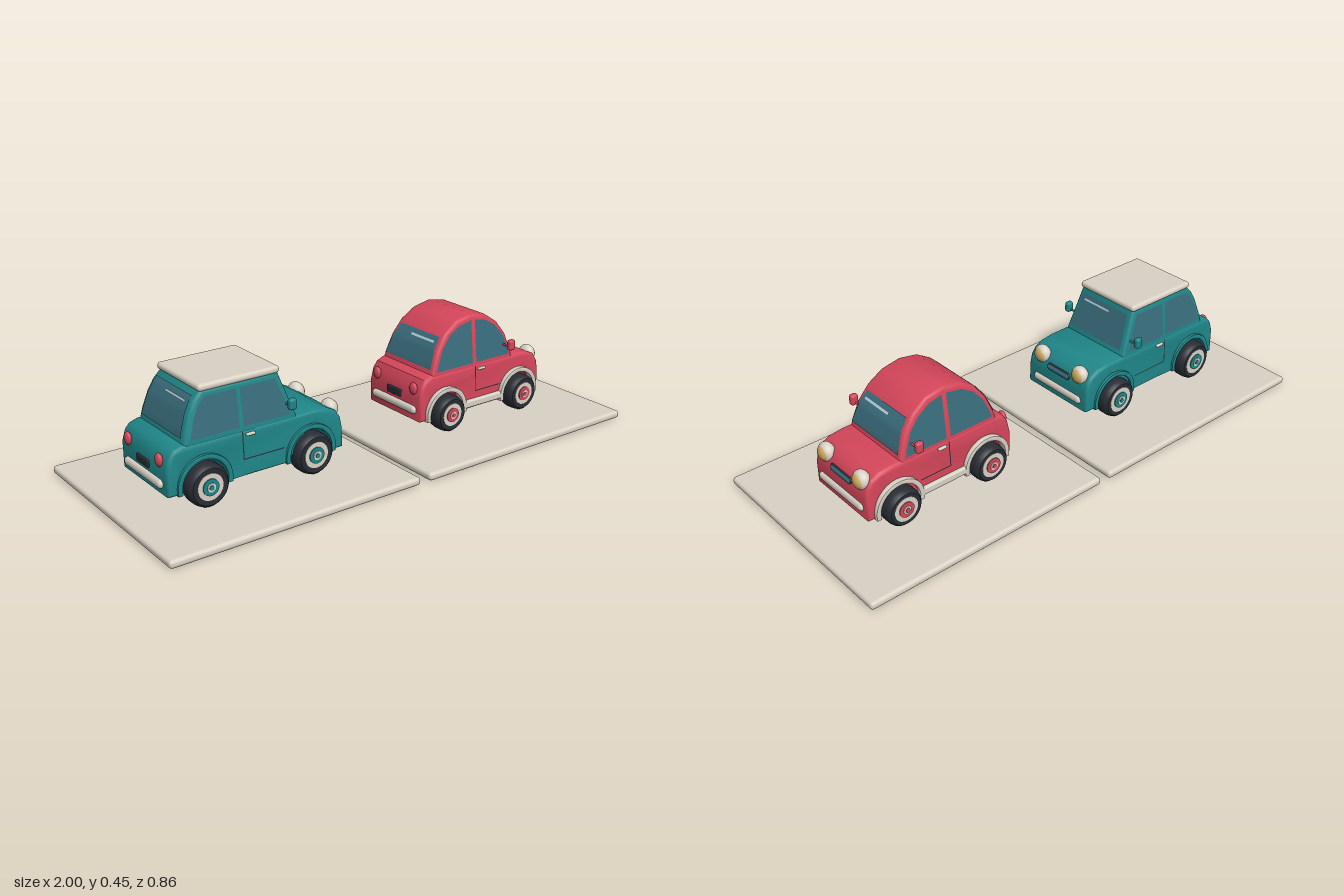
import * as THREE from 'three';
import { toCreasedNormals } from 'three/addons/utils/BufferGeometryUtils.js';
import { RoundedBoxGeometry } from 'three/addons/geometries/RoundedBoxGeometry.js';

const material = (name, color, side = THREE.FrontSide) => {
  const m = new THREE.MeshStandardMaterial({ color, side });
  m.name = name;
  return m;
};

const add = (parent, name, geometry, mat, x = 0, y = 0, z = 0) => {
  const mesh = new THREE.Mesh(geometry, mat);
  mesh.name = name;
  mesh.position.set(x, y, z);
  parent.add(mesh);
  return mesh;
};

const toShape = (pts) => new THREE.Shape(pts.map(([x, y]) => new THREE.Vector2(x, y)));

// Linear half width of a shell from [y0, w0] to [y1, w1]
const taper = ([y0, w0], [y1, w1]) => (y) => w0 + (w1 - w0) * (y - y0) / (y1 - y0);

// Side profile extruded across the car, rounded at the edges and narrowed with height
function shell(shape, half, bevel) {
  const W = 0.15;
  const geo = new THREE.ExtrudeGeometry(shape, {
    depth: 2 * (W - bevel), bevelThickness: bevel, bevelSize: bevel,
    bevelOffset: -bevel, bevelSegments: 4, curveSegments: 24,
  });
  geo.translate(0, 0, -(W - bevel));
  const p = geo.attributes.position;
  for (let i = 0; i < p.count; i++) p.setZ(i, p.getZ(i) * half(p.getY(i)) / W);
  return toCreasedNormals(geo, 0.6);
}

// Flat panel laid on a tapered side
function sidePanel(pts, half, side, lift = 0.003) {
  const geo = new THREE.ShapeGeometry(toShape(pts));
  const p = geo.attributes.position;
  for (let i = 0; i < p.count; i++) p.setZ(i, side * (half(p.getY(i)) + lift));
  geo.computeVertexNormals();
  return geo;
}

// Panel laid across the front or rear of the cabin, following its profile
function crossPanel(profile, dir, yLow, yHigh, zLow, zHigh, lift) {
  const pts = dir > 0 ? [...profile].reverse() : profile;
  const edgeX = (y) => {
    let i = 0;
    while (i < pts.length - 2 && pts[i + 1][1] < y) i++;
    const [a, b] = [pts[i], pts[i + 1]];
    return a[0] + (b[0] - a[0]) * (y - a[1]) / (b[1] - a[1]);
  };
  const geo = new THREE.PlaneGeometry(1, 1, 1, 10);
  const p = geo.attributes.position;
  for (let i = 0; i < p.count; i++) {
    const t = p.getY(i) + 0.5, s = p.getX(i) + 0.5;
    const y = yLow + (yHigh - yLow) * t;
    const left = zLow[0] + (zHigh[0] - zLow[0]) * t, right = zLow[1] + (zHigh[1] - zLow[1]) * t;
    p.setXYZ(i, edgeX(y) + dir * lift, y, dir > 0 ? left + (right - left) * s : right + (left - right) * s);
  }
  geo.computeVertexNormals();
  return geo;
}

function wheel(mats, paint, r) {
  const g = new THREE.Group();
  g.name = 'wheel';
  const profile = [[0.6, -0.034], [0.86, -0.036], [0.96, -0.028], [1, -0.015], [1, 0.015], [0.96, 0.028], [0.86, 0.036], [0.6, 0.034]];
  const tire = new THREE.LatheGeometry(profile.map(([k, y]) => new THREE.Vector2(k * r, y)), 36);
  add(g, 'tire', toCreasedNormals(tire, 0.6), mats.rubber).rotation.x = Math.PI / 2;
  const discs = [['rim', 0.67, 0.036, mats.cream], ['hubRing', 0.42, 0.040, paint], ['hubCenter', 0.22, 0.043, mats.cream], ['hubCap', 0.12, 0.046, paint]];
  for (const [name, k, h, mat] of discs)
    add(g, name, new THREE.CylinderGeometry(k * r * 0.94, k * r, 2 * h, 28), mat).rotation.x = Math.PI / 2;
  return g;
}

// Half-ring trim around a wheel opening
function archShape(cx, cy, rIn, rOut, yLow) {
  const a = Math.asin((cy - yLow) / rOut), b = Math.asin((cy - yLow) / rIn);
  const s = new THREE.Shape();
  s.absarc(cx, cy, rOut, -a, Math.PI + a, false);
  s.absarc(cx, cy, rIn, Math.PI + b, -b, true);
  return s;
}

function createCar(name, mats, c) {
  const car = new THREE.Group();
  car.name = name;
  const { paint, wheels, wheelY, wheelR, archR, bottom, bodyHalf, cabinHalf } = c;

  // Lower body with open wheel arches
  const body = toShape(c.body);
  for (const x of [...wheels].reverse()) {
    const a = Math.asin((wheelY - bottom) / archR);
    body.absarc(x, wheelY, archR, -a, Math.PI + a, false);
  }
  add(car, 'body', shell(body, bodyHalf, 0.014), paint);
  add(car, 'cabin', shell(toShape(c.cabin), cabinHalf, 0.014), paint);

  // Windscreen and rear window with a light streak on each
  for (const dir of [1, -1]) {
    const [y0, y1] = c.screenY, [w0, w1] = c.screenHalf, s = y1 - 0.018;
    add(car, dir > 0 ? 'windscreen' : 'rearWindow',
      crossPanel(c.cabin, dir, y0, y1, [w0, -w0], [w1, -w1], 0.004), mats.glass);
    add(car, 'glassStreak', crossPanel(c.cabin, dir, s - 0.004, s + 0.003, [0.1, -0.03], [0.1, -0.03], 0.007), mats.streak);
  }

  for (const side of [1, -1]) {
    // Side windows, door seam and handle
    for (const pts of c.windows) add(car, 'sideWindow', sidePanel(pts, cabinHalf, side), mats.glass);
    const [dx, dEnd] = c.door, y = 0.15, t = 0.004;
    add(car, 'doorSeam', sidePanel([[dx, 0.25], [dx, y], [dEnd, y], [dEnd, y + t], [dx + t, y + t], [dx + t, 0.25]], bodyHalf, side, 0.002), mats.rubber);
    add(car, 'doorHandle', new RoundedBoxGeometry(0.035, 0.01, 0.012, 2, 0.004), mats.cream, dx + 0.032, 0.237, side * (bodyHalf(0.237) + 0.003));

    // Wheels and arch trims
    for (const x of wheels) {
      const w = wheel(mats, paint, wheelR);
      w.position.set(x, wheelY, side * 0.163);
      car.add(w);
      const arch = new THREE.ExtrudeGeometry(archShape(x, wheelY, archR, archR + 0.018, bottom),
        { depth: 0.02, bevelThickness: 0.003, bevelSize: 0.003, bevelOffset: -0.003, bevelSegments: 2, curveSegments: 24 });
      add(car, 'wheelArch', toCreasedNormals(arch, 0.6), c.trim, 0, 0, side * 0.158 - 0.01);
    }
    if (c.runningBoard) {
      const len = wheels[1] - wheels[0] - 2 * archR - 0.01;
      add(car, 'runningBoard', new RoundedBoxGeometry(len, 0.03, 0.024, 2, 0.008), c.trim, (wheels[0] + wheels[1]) / 2, 0.108, side * 0.158);
    }

    // Door mirror
    const stem = add(car, 'mirrorStem', new THREE.CylinderGeometry(0.004, 0.004, 0.06, 10), paint, c.mirrorX, 0.306, side * 0.16);
    stem.rotation.x = Math.PI / 2;
    add(car, 'mirror', new RoundedBoxGeometry(0.03, 0.042, 0.024, 3, 0.01), paint, c.mirrorX, 0.315, side * 0.188);

    // Headlight shell and lens, tail light
    add(car, 'headlightShell', new THREE.SphereGeometry(1, 28, 18), mats.cream, c.front - 0.016, 0.222, side * 0.103).scale.set(0.028, 0.036, 0.036);
    add(car, 'headlightLens', new THREE.SphereGeometry(1, 24, 16), mats.lens, c.front - 0.002, 0.222, side * 0.103).scale.set(0.017, 0.028, 0.028);
    add(car, 'tailLight', new THREE.SphereGeometry(1, 20, 14), mats.red, c.rear + 0.001, 0.208, side * 0.108).scale.set(0.012, 0.024, 0.019);
  }

  // Bumpers, grille and rear plate
  const bar = (label, mat, r, halfLen, x, y) => {
    const m = add(car, label, new THREE.CapsuleGeometry(r, 2 * (halfLen - r), 8, 18), mat, x, y, 0);
    m.rotation.x = Math.PI / 2;
    m.scale.x = 0.75;
  };
  bar('frontBumper', mats.cream, 0.016, 0.128, c.front + 0.002, 0.125);
  bar('rearBumper', mats.cream, 0.016, 0.128, c.rear - 0.002, 0.125);
  bar('grilleFrame', mats.rubber, 0.0145, 0.063, c.front - 0.006, 0.193);
  bar('grille', mats.glass, 0.011, 0.058, c.front - 0.001, 0.193);
  add(car, 'rearPlate', new RoundedBoxGeometry(0.012, 0.028, 0.08, 2, 0.004), mats.rubber, c.rear - 0.001, 0.168, 0);
  return car;
}

export function createModel() {
  const model = new THREE.Group();
  const mats = {
    teal: material('teal paint', 0x1f8688), red: material('red paint', 0xd5465a),
    cream: material('cream', 0xd9d2c5), rubber: material('dark rubber', 0x282d34),
    glass: material('blue glass', 0x3a6e7d, THREE.DoubleSide), streak: material('pale streak', 0xb4d0d6, THREE.DoubleSide),
    lens: material('amber lens', 0xd0ac62),
  };
  mats.rubber.side = THREE.DoubleSide;

  // Two display bases
  for (const s of [-1, 1])
    add(model, 'base', new RoundedBoxGeometry(0.98, 0.03, 0.86, 3, 0.013), mats.cream, s * 0.51, 0.015, 0);

  // Boxy car with a slab roof
  const teal = createCar('tealCar', mats, {
    paint: mats.teal, trim: mats.teal, wheels: [-0.72, -0.3], wheelY: 0.107, wheelR: 0.076, archR: 0.086, bottom: 0.088,
    bodyHalf: taper([0.09, 0.165], [0.255, 0.159]), cabinHalf: taper([0.25, 0.156], [0.42, 0.136]),
    body: [[-0.853, 0.088], [-0.855, 0.185], [-0.843, 0.225], [-0.825, 0.245], [-0.795, 0.255], [-0.27, 0.254],
      [-0.22, 0.247], [-0.185, 0.23], [-0.166, 0.203], [-0.159, 0.165], [-0.159, 0.088]],
    cabin: [[-0.79, 0.235], [-0.778, 0.29], [-0.757, 0.35], [-0.735, 0.39], [-0.705, 0.422], [-0.41, 0.422], [-0.342, 0.235]],
    screenY: [0.272, 0.402], screenHalf: [0.134, 0.118],
    windows: [
      [[-0.763, 0.266], [-0.745, 0.33], [-0.722, 0.375], [-0.698, 0.4], [-0.577, 0.4], [-0.577, 0.266]],
      [[-0.563, 0.266], [-0.563, 0.4], [-0.425, 0.4], [-0.375, 0.266]],
    ],
    door: [-0.572, -0.41], mirrorX: -0.39, front: -0.162, rear: -0.855,
  });
  add(teal, 'roofSlab', new RoundedBoxGeometry(0.312, 0.026, 0.284, 3, 0.012), mats.cream, -0.56, 0.428, 0);
  model.add(teal);

  // Round-roofed car with cream trim
  model.add(createCar('redCar', mats, {
    paint: mats.red, trim: mats.cream, wheels: [0.323, 0.694], wheelY: 0.103, wheelR: 0.07, archR: 0.08, bottom: 0.083,
    bodyHalf: taper([0.08, 0.158], [0.255, 0.15]), cabinHalf: taper([0.25, 0.148], [0.452, 0.126]),
    body: [[0.206, 0.083], [0.203, 0.17], [0.212, 0.215], [0.23, 0.243], [0.262, 0.256], [0.7, 0.256],
      [0.755, 0.25], [0.788, 0.234], [0.808, 0.205], [0.815, 0.165], [0.813, 0.083]],
    cabin: [[0.258, 0.235], [0.272, 0.285], [0.297, 0.345], [0.338, 0.4], [0.395, 0.437], [0.468, 0.452],
      [0.54, 0.438], [0.597, 0.4], [0.64, 0.345], [0.663, 0.285], [0.675, 0.235]],
    screenY: [0.274, 0.386], screenHalf: [0.134, 0.112],
    windows: [
      [[0.284, 0.264], [0.292, 0.29], [0.316, 0.345], [0.353, 0.39], [0.4, 0.418], [0.463, 0.43], [0.463, 0.264]],
      [[0.481, 0.264], [0.481, 0.43], [0.534, 0.419], [0.582, 0.39], [0.621, 0.345], [0.643, 0.29], [0.649, 0.264]],
    ],
    door: [0.472, 0.6], mirrorX: 0.622, front: 0.812, rear: 0.204, runningBoard: true,
  }));
  return model;
}
